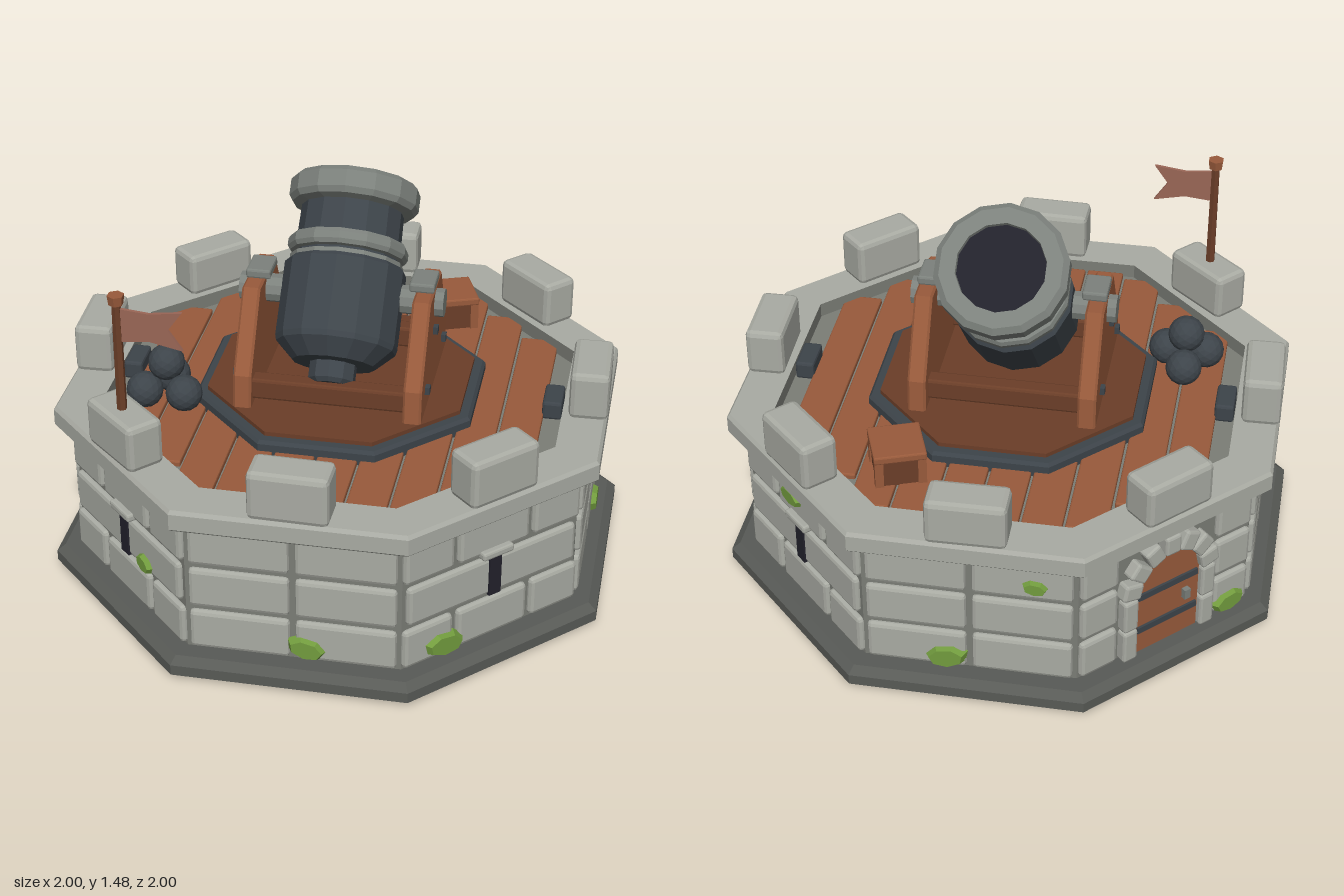
import * as THREE from 'three';
import { RoundedBoxGeometry } from 'three/addons/geometries/RoundedBoxGeometry.js';

const mat = (name, color, double) => {
  const m = new THREE.MeshStandardMaterial({ color, flatShading: true });
  m.name = name;
  if (double) m.side = THREE.DoubleSide;
  return m;
};
const M = {
  stone: mat('lightStone', 0xa9aba3), mortar: mat('darkStone', 0x7b7d76), plinth: mat('plinthStone', 0x585a56),
  wood: mat('wood', 0x985a3b), darkWood: mat('darkWood', 0x6b3e28), gun: mat('gunmetal', 0x3d444a),
  iron: mat('iron', 0x7c817c), black: mat('black', 0x22212b), moss: mat('moss', 0x729c3e), flag: mat('flagCloth', 0x9a6656, true),
};
let seed = 7;
const rnd = () => ((seed = (seed * 16807) % 2147483647) / 2147483647) - 0.5;

function add(parent, name, geo, m, x = 0, y = 0, z = 0) {
  const mesh = new THREE.Mesh(geo, m);
  mesh.name = name;
  mesh.position.set(x, y, z);
  parent.add(mesh);
  return mesh;
}
const group = (parent, name) => {
  const g = new THREE.Group();
  g.name = name;
  parent.add(g);
  return g;
};
const box = (w, h, d) => new THREE.BoxGeometry(w, h, d);
const block = (w, h, d, r = 0.015) => new RoundedBoxGeometry(w, h, d, 1, r);
const lathe = (pts, n, phase = 0) => new THREE.LatheGeometry(pts.map(p => new THREE.Vector2(...p)), n, phase);
// Octagonal solid or ring whose profile gives [distance to flat side, height]
const octagon = pts => lathe(pts.map(([a, y]) => [a / Math.cos(Math.PI / 8), y]), 8, Math.PI / 8);

function addTower(root) {
  const t = group(root, 'tower');
  add(t, 'plinth', octagon([[0, 0], [0.97, 0], [1, 0.02], [1, 0.06], [0.97, 0.085], [0, 0.085]]), M.plinth);
  add(t, 'wallCore', octagon([[0.905, 0.08], [0.905, 0.61]]), M.mortar);
  add(t, 'cornice', octagon([[0.81, 0.6], [0.965, 0.6], [0.975, 0.61], [0.975, 0.67], [0.965, 0.683], [0.815, 0.683]]), M.stone);
  add(t, 'corniceInnerWall', octagon([[0.815, 0.683], [0.815, 0.6]]), M.mortar);
  add(t, 'floor', octagon([[0.83, 0.628], [0, 0.628]]), M.mortar);

  const slits = [1, 3, 7];
  const mossSpots = [ // face, across, height, width, tall
    [0, 0.05, 0.145, 0.15, 0.09], [1, -0.21, 0.14, 0.18, 0.1], [2, 0.21, 0.13, 0.17, 0.09], [3, -0.04, 0.53, 0.14, 0.07],
    [4, -0.08, 0.14, 0.16, 0.1], [4, 0.23, 0.5, 0.1, 0.06], [5, 0.28, 0.13, 0.15, 0.09], [6, 0.08, 0.53, 0.11, 0.07], [7, 0.14, 0.3, 0.1, 0.07],
  ];
  for (let k = 0; k < 8; k++) {
    const f = group(t, 'wallFace' + k);
    f.rotation.y = k * Math.PI / 4;
    // Brick courses in alternating bond
    for (let row = 0; row < 3; row++) {
      const y = 0.17 + row * 0.173;
      const two = (row + k) % 2 === 1 ? row === 1 : row !== 1;
      const useTwo = k % 2 ? row === 1 : two;
      let spans = useTwo ? [[-0.36, -0.01], [0.01, 0.36]] : [[-0.375, -0.17], [-0.15, 0.15], [0.17, 0.375]];
      if (k === 5) spans = [[-0.37, -0.215], [0.215, 0.37]];
      for (const [a, b] of spans) add(f, 'brick', block(b - a, 0.152, 0.06), M.stone, (a + b) / 2, y, 0.896);
    }
    if (slits.includes(k)) {
      add(f, 'arrowSlit', box(0.05, 0.17, 0.03), M.black, 0, 0.352, 0.918);
      add(f, 'slitLintel', block(0.13, 0.03, 0.05, 0.008), M.stone, 0, 0.447, 0.925);
    }
    for (const [face, u, y, w, h] of mossSpots) {
      if (face !== k) continue;
      const geo = new THREE.CylinderGeometry(0.38, 0.5, 1, 7);
      geo.rotateX(Math.PI / 2);
      const patch = add(f, 'mossPatch', geo, M.moss, u, y, 0.93);
      patch.scale.set(w, h, 0.03);
      patch.rotation.z = rnd() * 0.5;
    }
    // Battlement block
    const h = 0.175 + rnd() * 0.02;
    const merlon = add(f, 'merlon', block(0.28, h, 0.14, 0.02), M.stone, 0, 0.68 + h / 2, 0.905);
    merlon.rotation.y = rnd() * 0.1;
    if (k === 5) addDoor(f);
  }

  // Deck planks, each shortened to fit the octagon
  for (let i = 0; i < 10; i++) {
    const x = -0.675 + i * 0.15;
    const len = 2 * Math.min(0.81, 1.146 - Math.abs(x));
    add(t, 'deckPlank', block(0.14, 0.04, len, 0.006), M.wood, x, 0.628, 0);
  }
  for (const s of [-1, 1]) add(t, 'drain', block(0.07, 0.07, 0.14, 0.01), M.gun, s * 0.775, 0.66, 0);
}

function addDoor(f) {
  const d = group(f, 'door');
  const arch = new THREE.Shape();
  arch.moveTo(-0.14, 0.085).lineTo(0.14, 0.085).lineTo(0.14, 0.36);
  arch.absarc(0, 0.36, 0.14, 0, Math.PI, false);
  add(d, 'doorLeaf', new THREE.ExtrudeGeometry(arch, { depth: 0.03, bevelEnabled: false, curveSegments: 10 }), M.wood, 0, 0, 0.89);
  for (const y of [0.19, 0.34]) add(d, 'doorBand', box(0.26, 0.025, 0.012), M.gun, 0, y, 0.923);
  add(d, 'doorHandle', box(0.025, 0.04, 0.03), M.iron, 0.08, 0.265, 0.925);
  for (const s of [-1, 1]) for (let i = 0; i < 2; i++)
    add(d, 'jambStone', block(0.06, 0.132, 0.09, 0.01), M.stone, s * 0.17, 0.152 + i * 0.137, 0.9);
  for (let i = 0; i < 7; i++) {
    const a = (i + 0.5) * Math.PI / 7;
    const v = add(d, 'archStone', block(0.066, 0.078, 0.1, 0.01), M.stone, Math.cos(a) * 0.172, 0.36 + Math.sin(a) * 0.172, 0.9);
    v.rotation.z = a - Math.PI / 2;
  }
}

function addMortar(root) {
  const g = group(root, 'mortarGun');
  add(g, 'turntableRim', octagon([[0.5, 0.63], [0.5, 0.675], [0.49, 0.687], [0.455, 0.687]]), M.gun);
  add(g, 'turntable', octagon([[0.46, 0.64], [0.46, 0.703], [0, 0.703]]), M.darkWood);

  // Carriage side plates and fittings
  const side = new THREE.Shape([[-0.31, 0.7], [0.285, 0.7], [0.275, 0.82], [0.125, 1.08], [-0.125, 1.08], [-0.295, 0.82]]
    .map(p => new THREE.Vector2(...p)));
  const cheek = new THREE.ExtrudeGeometry(side, { depth: 0.05, bevelThickness: 0.008, bevelSize: 0.008, bevelSegments: 1 });
  cheek.translate(0, 0, -0.025);
  cheek.rotateY(Math.PI / 2);
  for (const s of [-1, 1]) {
    add(g, 'carriageCheek', cheek, M.wood, s * 0.305);
    add(g, 'trunnionCap', block(0.09, 0.035, 0.125, 0.008), M.iron, s * 0.295, 1.105, 0);
    const pin = add(g, 'trunnion', new THREE.CylinderGeometry(0.052, 0.052, 0.2, 10), M.iron, s * 0.27, 1.025, 0);
    pin.rotation.z = Math.PI / 2;
    for (const [z, y] of [[0.215, 0.79], [-0.17, 0.79], [0.045, 0.94]])
      add(g, 'bolt', box(0.02, 0.028, 0.028), M.gun, s * 0.345, y, z);
  }
  for (const z of [0.255, -0.21]) add(g, 'crossBeam', block(0.56, 0.08, 0.065, 0.01), M.darkWood, 0, 0.765, z);

  // Tilted barrel, built along its own axis from the trunnions
  const b = group(g, 'barrel');
  b.position.set(0, 1.025, 0);
  b.rotation.x = -0.726;
  const n = 14;
  add(b, 'barrelBody', lathe([[0, -0.26], [0.15, -0.26], [0.215, -0.2], [0.22, -0.18], [0.22, 0.09], [0.19, 0.12], [0.185, 0.34]], n), M.gun);
  add(b, 'breechKnob', lathe([[0, -0.335], [0.07, -0.335], [0.085, -0.32], [0.085, -0.25]], 10), M.gun);
  add(b, 'barrelBand', lathe([[0.18, 0.13], [0.208, 0.135], [0.218, 0.15], [0.218, 0.175], [0.208, 0.19], [0.18, 0.195]], n), M.iron);
  add(b, 'lowerBand', lathe([[0.18, 0.095], [0.205, 0.1], [0.205, 0.12], [0.18, 0.125]], n), M.iron);
  add(b, 'muzzleRing', lathe([[0.18, 0.305], [0.222, 0.315], [0.236, 0.335], [0.236, 0.395], [0.215, 0.415], [0.158, 0.415], [0.155, 0.395]], n), M.iron);
  add(b, 'bore', lathe([[0.157, 0.4], [0, 0.4]], n), M.black);
}

function addProps(root) {
  // Cannonball pile
  const pile = group(root, 'cannonballs');
  for (const [x, y, z] of [[-0.605, 0.705, 0.135], [-0.675, 0.705, 0.26], [-0.53, 0.705, 0.26], [-0.603, 0.8, 0.215]])
    add(pile, 'cannonball', new THREE.IcosahedronGeometry(0.067, 2), M.gun, x, y, z);

  // Crate
  const crate = group(root, 'crate');
  crate.position.set(0.315, 0.645, -0.565);
  crate.rotation.y = 0.36;
  add(crate, 'crateBody', box(0.165, 0.11, 0.165), M.darkWood, 0, 0.055, 0);
  add(crate, 'crateLid', block(0.185, 0.03, 0.185, 0.006), M.wood, 0, 0.117, 0);
  for (const x of [-1, 1]) for (const z of [-1, 1]) add(crate, 'cratePost', box(0.03, 0.105, 0.03), M.wood, x * 0.075, 0.053, z * 0.075);

  // Flagpole with swallowtail flag
  const flag = group(root, 'flag');
  flag.position.set(-0.645, 0, 0.64);
  add(flag, 'pole', new THREE.CylinderGeometry(0.016, 0.018, 0.43, 6), M.darkWood, 0, 1.065, 0);
  add(flag, 'poleCap', new THREE.CylinderGeometry(0.03, 0.026, 0.035, 6), M.wood, 0, 1.278, 0);
  const cloth = new THREE.Shape([[0.01, 1.12], [0.11, 1.13], [0.225, 1.105], [0.175, 1.18], [0.225, 1.25], [0.11, 1.235], [0.01, 1.245]]
    .map(p => new THREE.Vector2(...p)));
  add(flag, 'cloth', new THREE.ExtrudeGeometry(cloth, { depth: 0.012, bevelEnabled: false }), M.flag, 0, 0, -0.006);
}

export function createModel() {
  const root = new THREE.Group();
  root.name = 'mortarTower';
  addTower(root);
  addMortar(root);
  addProps(root);
  return root;
}
